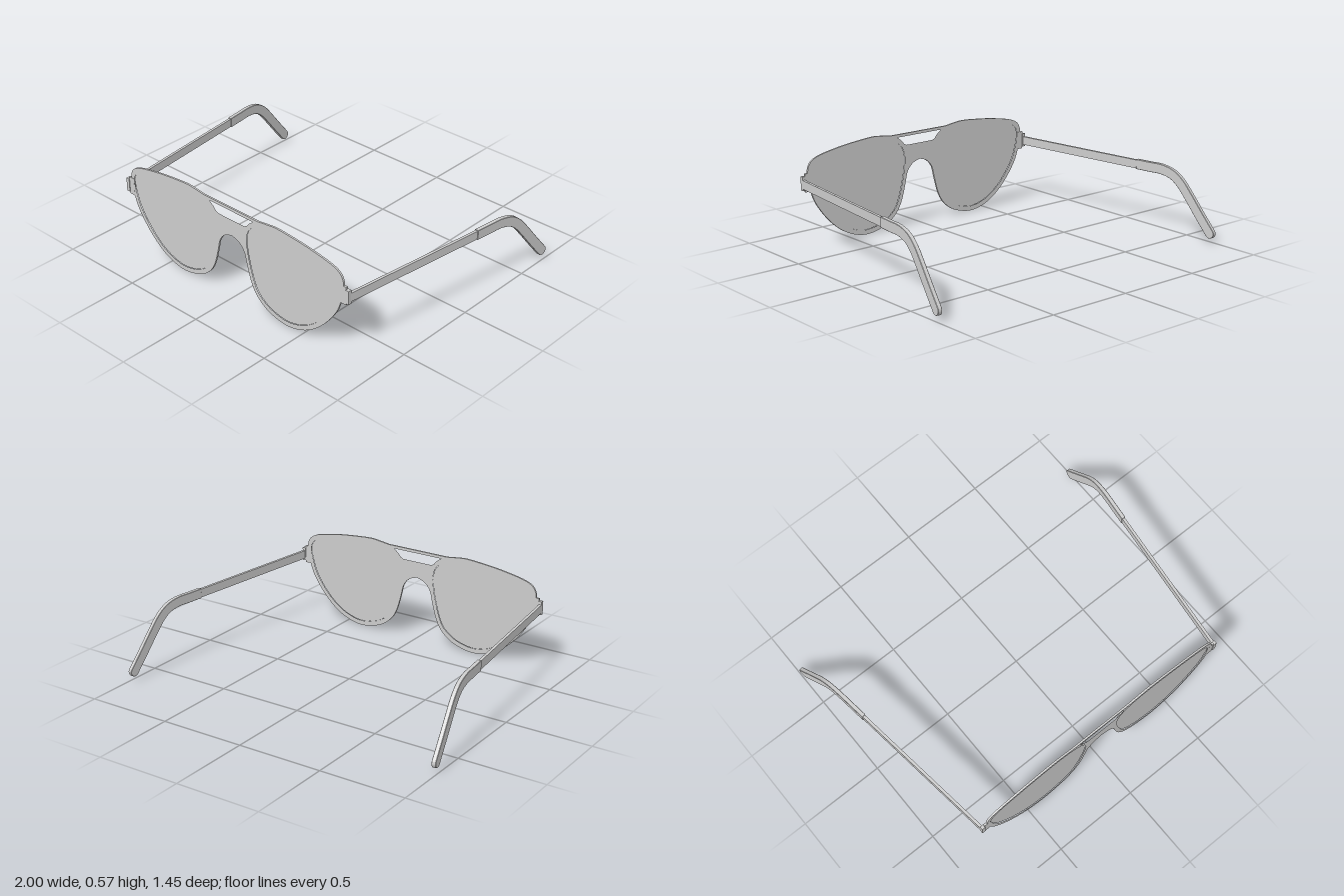
import * as THREE from 'three';

const V = (x, y) => new THREE.Vector2(x, y);
const material = new THREE.MeshStandardMaterial({ color: 0xcccccc });
const flatMaterial = new THREE.MeshStandardMaterial({ color: 0xcccccc });
const FRAME_Z = 0.714;

const toPoints = list => list.map(([x, y]) => V(x, y));
const smooth = (list, n) => new THREE.SplineCurve(toPoints(list)).getPoints(n);
const mirrored = points => points.map(p => V(-p.x, p.y)).reverse();

// Plate extruded along z and centred on z = 0
function plate(shape, depth, bevel = 0) {
  const geometry = new THREE.ExtrudeGeometry(shape, {
    depth: depth - 2 * bevel, bevelEnabled: bevel > 0, bevelSize: bevel,
    bevelThickness: bevel, bevelOffset: -bevel, bevelSegments: 1, curveSegments: 16,
  });
  geometry.translate(0, 0, -(depth - 2 * bevel) / 2);
  return geometry;
}

function addMesh(parent, name, geometry, mat, x = 0, y = 0, z = 0) {
  const mesh = new THREE.Mesh(geometry, mat);
  mesh.name = name;
  mesh.position.set(x, y, z);
  parent.add(mesh);
  return mesh;
}

// Closed outline of one lens, on the +x side
function lensOutline() {
  const rim = toPoints([
    [0.33, 0.543], [0.45, 0.535], [0.56, 0.521], [0.68, 0.497], [0.735, 0.472],
    [0.757, 0.43], [0.738, 0.325], [0.712, 0.262], [0.661, 0.187], [0.602, 0.123],
    [0.536, 0.073], [0.463, 0.041], [0.389, 0.028], [0.307, 0.041], [0.245, 0.067],
    [0.187, 0.115], [0.158, 0.172], [0.132, 0.26], [0.116, 0.335], [0.109, 0.41],
    [0.125, 0.468], [0.165, 0.507], [0.23, 0.533],
  ]).map(p => new THREE.Vector3(p.x, p.y, 0));
  return new THREE.CatmullRomCurve3(rim, true).getPoints(110).slice(0, -1).map(p => V(p.x, p.y));
}

// Frame outline: brow and lower rim of the +x half, then the mirrored half
function frameShape() {
  const brow = smooth([
    [0.2, 0.554], [0.26, 0.562], [0.33, 0.568], [0.45, 0.559], [0.56, 0.546],
    [0.69, 0.522], [0.752, 0.497], [0.778, 0.462], [0.784, 0.425],
  ], 40);
  const lower = smooth([
    [0.765, 0.323], [0.738, 0.254], [0.684, 0.174], [0.62, 0.104], [0.55, 0.05],
    [0.47, 0.014], [0.385, 0], [0.3, 0.014], [0.23, 0.043], [0.17, 0.096],
    [0.134, 0.163], [0.108, 0.254], [0.09, 0.323], [0.053, 0.367], [0, 0.387],
  ], 70);
  const half = [...brow, ...lower];
  const shape = new THREE.Shape([...half, ...mirrored(half).slice(1)]);

  const lens = lensOutline();
  const slotHalf = toPoints([[0.16, 0.537], [0.128, 0.512], [0.113, 0.493], [0.095, 0.484]]);
  const holes = [lens, mirrored(lens), [...slotHalf, ...mirrored(slotHalf)]];
  shape.holes = holes.map(points => new THREE.Path(points));
  return shape;
}

// Side profile of a rounded bar following a centre line of [distance back, y]
function barShape(line, radius) {
  const points = smooth(line, 40);
  const upper = [], under = [];
  points.forEach((p, i) => {
    const a = points[Math.max(i - 1, 0)], b = points[Math.min(i + 1, points.length - 1)];
    const dir = b.clone().sub(a).normalize();
    const normal = V(-dir.y, dir.x).multiplyScalar(radius);
    upper.push(p.clone().add(normal));
    under.push(p.clone().sub(normal));
  });
  // Rounded far end
  const end = points[points.length - 1];
  const start = upper[upper.length - 1].clone().sub(end).angle();
  const cap = [];
  for (let i = 1; i < 12; i++) {
    const t = start - Math.PI * i / 12;
    cap.push(V(end.x + radius * Math.cos(t), end.y + radius * Math.sin(t)));
  }
  return new THREE.Shape([...upper, ...cap, ...under.reverse()]);
}

function createTemple(side) {
  const temple = new THREE.Group();
  temple.name = side > 0 ? 'leftTemple' : 'rightTemple';
  temple.position.set(side * 0.812, 0, FRAME_Z);
  // Splays outwards towards the back
  temple.rotation.y = Math.PI / 2 - side * 0.122;

  addMesh(temple, 'templeArm', new THREE.BoxGeometry(0.91, 0.05, 0.016), material, 0.455, 0.371, 0);

  const earLine = [
    [0.89, 0.372], [0.98, 0.372], [1.07, 0.372], [1.145, 0.354], [1.205, 0.312],
    [1.265, 0.243], [1.34, 0.15], [1.417, 0.057],
  ];
  addMesh(temple, 'earTip', plate(barShape(earLine, 0.029), 0.024, 0.002), material);
  return temple;
}

export function createModel() {
  const model = new THREE.Group();
  model.name = 'glasses';

  // Front frame with lens openings and a slot under the brow bar
  addMesh(model, 'frontFrame', plate(frameShape(), 0.011), flatMaterial, 0, 0, FRAME_Z);

  const lens = lensOutline();
  for (const side of [1, -1]) {
    const prefix = side > 0 ? 'left' : 'right';

    // Thin lens set into the rim
    const outline = side > 0 ? lens : mirrored(lens);
    addMesh(model, prefix + 'Lens', plate(new THREE.Shape(outline), 0.004), flatMaterial, 0, 0, FRAME_Z);

    // Stepped end piece and hinge block
    addMesh(model, prefix + 'EndPiece', new THREE.BoxGeometry(0.038, 0.106, 0.012), material,
      side * 0.782, 0.376, FRAME_Z);
    addMesh(model, prefix + 'Hinge', new THREE.BoxGeometry(0.022, 0.08, 0.02), material,
      side * 0.81, 0.375, FRAME_Z);

    model.add(createTemple(side));
  }
  return model;
}
